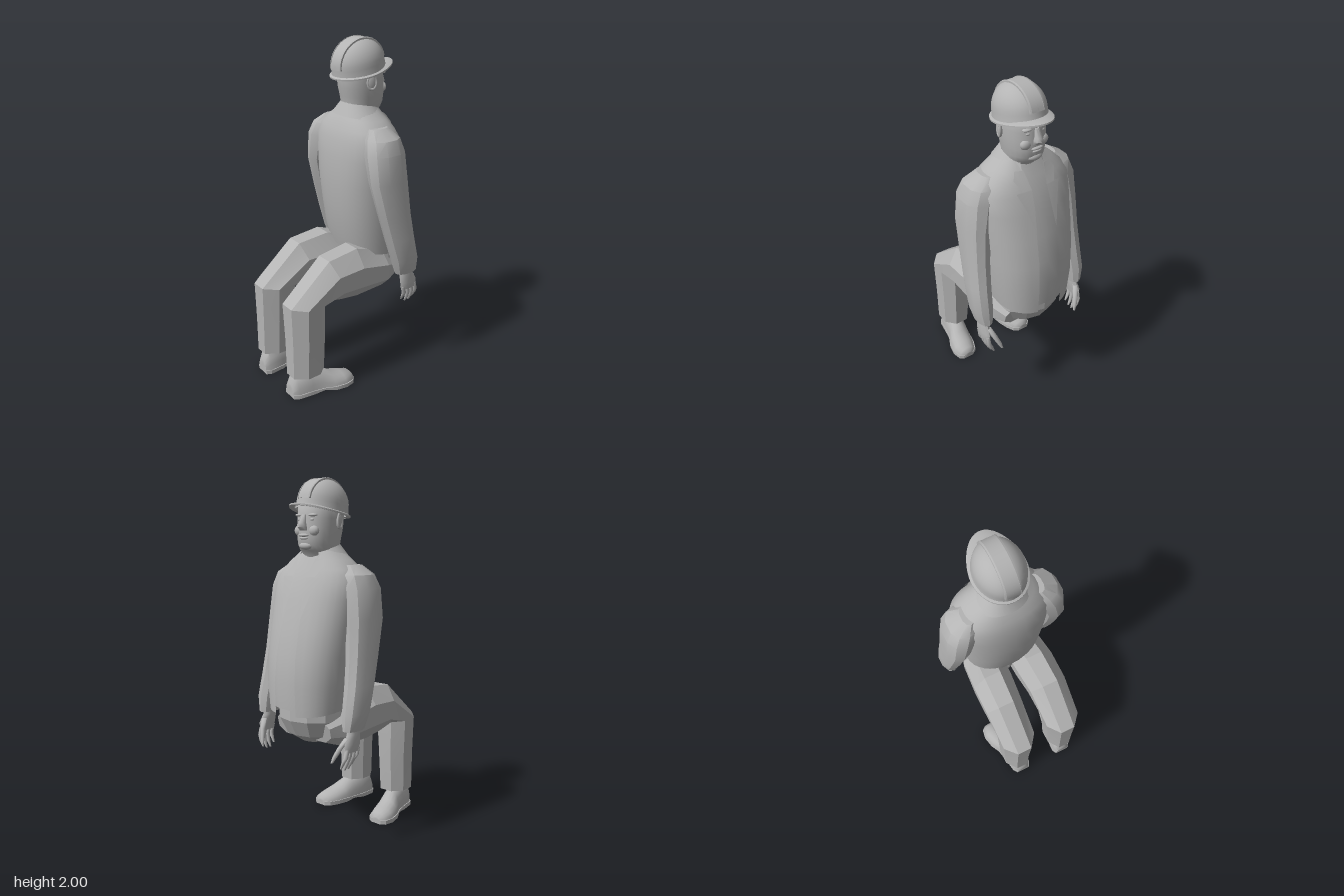
import * as THREE from 'three';
import { toCreasedNormals } from 'three/addons/utils/BufferGeometryUtils.js';

const V = (x, y, z) => new THREE.Vector3(x, y, z);
const grey = new THREE.MeshStandardMaterial({ color: 0xb4b4b4, side: THREE.DoubleSide });
grey.name = 'plain grey';

function add(parent, name, geometry) {
  const m = new THREE.Mesh(geometry, grey);
  m.name = name;
  parent.add(m);
  return m;
}

// Skin a list of equal-length cross-sections; closed rings get end caps
function loft(rings, crease = 0.7, open = false) {
  const n = rings[0].length, pts = rings.flat(), idx = [];
  for (let r = 0; r < rings.length - 1; r++) {
    for (let i = 0; i < (open ? n - 1 : n); i++) {
      const j = (i + 1) % n, a = r * n + i, b = r * n + j;
      idx.push(a, b, b + n, a, b + n, a + n);
    }
  }
  if (!open) {
    [0, rings.length - 1].forEach((r) => {
      const c = pts.length, mid = V(0, 0, 0);
      rings[r].forEach((p) => mid.addScaledVector(p, 1 / n));
      pts.push(mid);
      for (let i = 0; i < n; i++) {
        const a = r * n + i, b = r * n + (i + 1) % n;
        if (r) idx.push(a, b, c); else idx.push(b, a, c);
      }
    });
  }
  // Turn the faces outward
  let volume = 0;
  for (let i = 0; i < idx.length; i += 3) {
    volume += pts[idx[i]].dot(pts[idx[i + 1]].clone().cross(pts[idx[i + 2]]));
  }
  if (volume < 0) idx.reverse();
  const g = new THREE.BufferGeometry().setFromPoints(pts);
  g.setIndex(idx);
  return toCreasedNormals(g, crease);
}

// Horizontal oval ring from x and z extents; gap leaves it open at the face side (-z)
function oval(y, x0, x1, zb, zf, n = 20, e = 2, gap = 0, tilt = 0) {
  const cx = (x0 + x1) / 2, rx = (x1 - x0) / 2, cz = (zb + zf) / 2, rz = (zb - zf) / 2;
  const start = gap ? Math.asin(Math.pow(gap / rx, e / 2)) : 0;
  const pw = (v) => Math.sign(v) * Math.pow(Math.abs(v), 2 / e);
  return Array.from({ length: n }, (_, i) => {
    const a = start + (2 * Math.PI - 2 * start) * i / (gap ? n - 1 : n);
    return V(cx + rx * pw(Math.sin(a)), y - tilt * Math.cos(a), cz - rz * pw(Math.cos(a)));
  });
}

// Torso stations: y, half width, back z, front z, half opening
const torso = [
  [0.755, 0.225, -0.03, -0.46, 0.075], [0.9, 0.245, 0.0, -0.465, 0.075], [1.05, 0.255, 0.02, -0.45, 0.07],
  [1.2, 0.265, 0.033, -0.415, 0.065], [1.35, 0.275, 0.03, -0.37, 0.055], [1.45, 0.275, 0.018, -0.335, 0.05],
  [1.51, 0.24, 0.0, -0.305, 0.055], [1.56, 0.18, -0.025, -0.28, 0.065], [1.61, 0.11, -0.055, -0.255, 0.07],
];
const E = 2.4;
// Depth of the jacket front at a given x and y
function frontZ(x, y) {
  const k = Math.max(1, torso.findIndex((t) => t[0] >= y));
  const a = torso[k - 1], b = torso[k], f = (y - a[0]) / (b[0] - a[0]);
  const [, rx, zb, zf] = a.map((v, i) => v + (b[i] - v) * f);
  return (zb + zf) / 2 - (zb - zf) / 2 * Math.pow(1 - Math.pow(Math.abs(x) / rx, E), 1 / E);
}

function buildTorso(body) {
  add(body, 'jacket', loft(torso.map(([y, r, zb, zf, gap], i) =>
    oval(y, -r, r, zb, zf, 33, E, gap, i ? 0 : 0.025)), 0.6, true));
  add(body, 'shirt', loft(torso.map(([y, r, zb, zf]) =>
    oval(y, -r * 0.9, r * 0.9, zb - 0.02, zf + 0.022, 24, E)), 0.6));
  add(body, 'collar', loft([
    oval(1.565, -0.155, 0.155, -0.02, -0.29, 25, 2.2, 0.075, 0.015),
    oval(1.63, -0.1, 0.1, -0.055, -0.265, 25, 2, 0.06, 0.02),
    oval(1.6, -0.09, 0.09, -0.065, -0.25, 25, 2, 0.06, 0.02),
  ], 0.5, true));
  add(body, 'trouserSeat', loft([
    oval(0.55, -0.08, 0.08, -0.14, -0.3, 12), oval(0.6, -0.17, 0.17, -0.07, -0.375, 12),
    oval(0.69, -0.205, 0.205, -0.05, -0.42, 12), oval(0.8, -0.2, 0.2, -0.05, -0.42, 12),
  ], 0.3));
  for (const s of [1, -1]) {
    // Notched lapel folded back along the opening
    add(body, 'lapel', loft([[1.25, 0.063, 0.066], [1.38, 0.052, 0.1], [1.47, 0.048, 0.135],
      [1.475, 0.048, 0.1], [1.53, 0.058, 0.13], [1.57, 0.065, 0.11]].map(([y, a, b]) =>
      [a, (a + b) / 2, b].map((x) => V(s * x, y, frontZ(x, y) - 0.008))), 0.5, true));
  }
}

function buildHead(body) {
  const head = new THREE.Group();
  head.name = 'head';
  body.add(head);
  add(head, 'skullAndNeck', loft([
    [1.52, 0.085, -0.07, -0.24], [1.58, 0.09, -0.062, -0.252], [1.61, 0.097, -0.058, -0.285],
    [1.64, 0.102, -0.055, -0.3], [1.68, 0.108, -0.048, -0.303], [1.73, 0.113, -0.036, -0.303],
    [1.78, 0.114, -0.03, -0.296], [1.84, 0.112, -0.03, -0.293], [1.89, 0.08, -0.06, -0.25],
  ].map(([y, r, zb, zf]) => oval(y, -r, r, zb, zf, 24, 2.15)), 1.2));
  add(head, 'nose', loft([[1.715, 0.024, -0.315], [1.735, 0.027, -0.336], [1.755, 0.02, -0.332],
    [1.8, 0.012, -0.304]].map(([y, r, zf]) => oval(y, -r, r, -0.28, zf, 8)), 1));
  const blob = (name, x, y, z, rx, ry, rz) => {
    const m = add(head, name, new THREE.SphereGeometry(1, 14, 10));
    m.position.set(x, y, z);
    m.scale.set(rx, ry, rz);
    return m;
  };
  blob('upperLip', 0, 1.691, -0.3, 0.036, 0.009, 0.014);
  blob('lowerLip', 0, 1.675, -0.298, 0.03, 0.008, 0.013);
  blob('chin', 0, 1.635, -0.283, 0.045, 0.022, 0.024);
  for (const s of [1, -1]) {
    blob('cheek', s * 0.05, 1.715, -0.275, 0.035, 0.03, 0.024);
    blob('eye', s * 0.042, 1.773, -0.279, 0.017, 0.009, 0.012);
    blob('brow', s * 0.045, 1.797, -0.278, 0.032, 0.009, 0.018);
    const ear = blob('ear', s * 0.119, 1.765, -0.147, 0.012, 0.043, 0.026);
    ear.rotation.set(0.15, -s * 0.3, 0);
    const rim = add(head, 'earRim', new THREE.TorusGeometry(0.026, 0.006, 6, 18));
    rim.position.set(s * 0.124, 1.767, -0.146);
    rim.rotation.y = Math.PI / 2 - s * 0.3;
    rim.scale.y = 1.5;
  }
}

function buildHelmet(body) {
  const helmet = new THREE.Group();
  helmet.name = 'hardHat';
  helmet.position.set(0, 1.822, -0.152);
  helmet.rotation.x = 0.18;
  body.add(helmet);
  const profile = [[1.03, -0.012], [1.01, 0.01], [1, 0.03]];
  for (let i = 1; i <= 10; i++) {
    const a = i / 10 * Math.PI / 2;
    profile.push([Math.max(Math.cos(a), 0.0001), 0.03 + 0.142 * Math.sin(a)]);
  }
  const dome = add(helmet, 'shell', new THREE.LatheGeometry(profile.map((p) => new THREE.Vector2(...p)), 36));
  dome.scale.set(0.131, 1, 0.157);
  // Raised centre band with a ridge on each side
  const strip = (x0, x1, lift) => loft(Array.from({ length: 21 }, (_, i) => {
    const a = 0.05 + (Math.PI - 0.1) * i / 20;
    return [[x0, -0.012], [x1, -0.012], [x1, lift], [x0, lift]].map(([x, l]) => {
      const k = Math.sqrt(1 - (x / 0.131) ** 2);
      return V(x, 0.03 + (0.142 * k + l) * Math.sin(a), -(0.157 * k + l) * Math.cos(a));
    });
  }), 0.6);
  add(helmet, 'centreBand', strip(-0.037, 0.037, 0.006));
  for (const s of [1, -1]) add(helmet, 'ridge', strip(s * 0.041 - 0.004, s * 0.041 + 0.004, 0.009));
  // Brim reaching further over the face, dished slightly along its length
  const edge = (r, y) => Array.from({ length: 40 }, (_, i) => {
    const a = i / 40 * Math.PI * 2, c = Math.cos(a);
    const reach = c > 0 ? 0.17 + 0.05 * c : 0.172;
    return V(0.146 * r * Math.sin(a), y + 0.008 * c * c * r, -reach * r * c);
  });
  add(helmet, 'brim', loft([edge(0.85, 0), edge(0.85, -0.016), edge(1, -0.02), edge(1, -0.012), edge(0.85, 0)], 0.6));
}

function buildArm(body, s) {
  const arm = new THREE.Group();
  arm.name = s > 0 ? 'leftArm' : 'rightArm';
  body.add(arm);
  const side = (y, a, b, zb, zf, n, e) => oval(y, Math.min(s * a, s * b), Math.max(s * a, s * b), zb, zf, n, e);
  add(arm, 'sleeve', loft([
    [1.535, 0.17, 0.235, -0.07, -0.19], [1.485, 0.15, 0.315, -0.03, -0.235], [1.41, 0.17, 0.348, -0.01, -0.25],
    [1.25, 0.215, 0.362, -0.015, -0.26], [1.05, 0.24, 0.37, -0.07, -0.28], [0.9, 0.253, 0.378, -0.115, -0.305],
    [0.76, 0.265, 0.382, -0.16, -0.335], [0.67, 0.28, 0.362, -0.19, -0.338],
  ].map((r) => side(...r, 10, 2.3)), 0.55));
  add(arm, 'palm', loft([[0.7, 0.3, 0.345, -0.225, -0.305], [0.65, 0.298, 0.348, -0.22, -0.315],
    [0.6, 0.305, 0.352, -0.222, -0.345], [0.555, 0.312, 0.346, -0.232, -0.34]].map((r) => side(...r, 10)), 1));
  // Tapered finger from root to tip
  const digit = (name, path, r) => add(arm, name, loft(path.map(([x, y, z], i) => {
    const k = r * [1, 0.95, 0.8, 0.4][i];
    return side(y, x - k, x + k, z + k, z - k, 8);
  }), 1.2));
  for (let i = 0; i < 4; i++) {
    const z = -0.24 - i * 0.029, d = [0.02, 0, 0, 0.014][i];
    digit('finger', [[0.33, 0.575, z], [0.331, 0.53, z - 0.012], [0.317, 0.485 + d, z - 0.018],
      [0.302, 0.452 + d, z - 0.018]], 0.0135);
  }
  digit('thumb', [[0.318, 0.63, -0.315], [0.298, 0.58, -0.348], [0.28, 0.535, -0.368], [0.268, 0.5, -0.38]], 0.017);
}

function buildLeg(body, s) {
  const leg = new THREE.Group();
  leg.name = s > 0 ? 'leftLeg' : 'rightLeg';
  body.add(leg);
  // Octagonal section between an upper/rear point and a lower/inner point, each [z, y]
  const corners = [[0.28, 0], [0.7, 0], [1, 0.32], [1, 0.72], [0.72, 1], [0.26, 1], [0, 0.72], [0, 0.35]];
  const section = ([A, B, x0, x1]) => corners.map(([u, t]) =>
    V(s * (x0 + (x1 - x0) * u), A[1] + (B[1] - A[1]) * t, A[0] + (B[0] - A[0]) * t));
  add(leg, 'trouserLeg', loft([
    [[-0.33, 0.7], [-0.3, 0.57], 0.03, 0.2], [[-0.2, 0.77], [-0.2, 0.535], 0.015, 0.25],
    [[0.0, 0.84], [0.0, 0.537], 0.02, 0.265], [[0.2, 0.82], [0.12, 0.555], 0.035, 0.265],
    [[0.46, 0.6], [0.235, 0.58], 0.045, 0.258], [[0.455, 0.37], [0.235, 0.37], 0.062, 0.252],
    [[0.455, 0.14], [0.245, 0.14], 0.072, 0.248],
  ].map(section), 0.25));
  // Shoe stations: z, centre x, half width, height
  const shoe = [[0.458, 0.15, 0.04, 0.09], [0.43, 0.153, 0.058, 0.15], [0.34, 0.163, 0.064, 0.155],
    [0.27, 0.178, 0.066, 0.14], [0.21, 0.198, 0.075, 0.1], [0.14, 0.213, 0.075, 0.075],
    [0.085, 0.22, 0.058, 0.062], [0.065, 0.222, 0.03, 0.04]];
  add(leg, 'shoe', loft(shoe.map(([z, x, w, h]) => Array.from({ length: 11 }, (_, i) => {
    const a = i / 10 * Math.PI;
    return V(s * (x + w * Math.cos(a)), 0.008 + (h - 0.008) * Math.pow(Math.sin(a), 0.8), z);
  })), 0.9));
  add(leg, 'sole', loft(shoe.map(([z, x, w], i) => {
    const low = i === 3 ? 0.012 : 0, k = w + 0.004;
    return [[-k, low], [k, low], [k, 0.024], [-k, 0.024]].map(([d, y]) => V(s * (x + d), y, z));
  }), 0.5));
}

export function createModel() {
  const body = new THREE.Group();
  body.name = 'seatedWorker';
  buildTorso(body);
  buildHead(body);
  buildHelmet(body);
  for (const s of [1, -1]) {
    buildArm(body, s);
    buildLeg(body, s);
  }
  return body;
}
